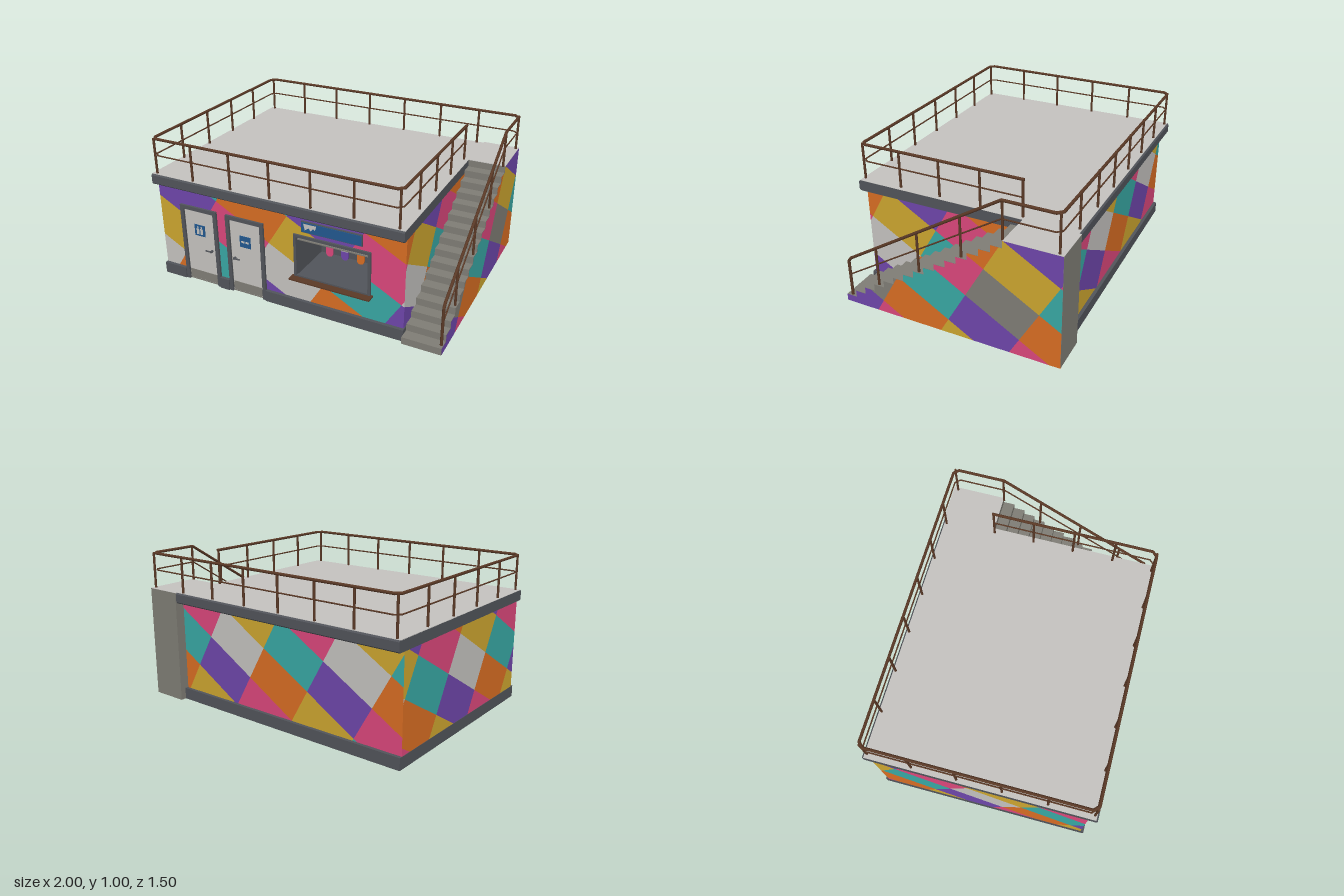
import * as THREE from 'three';

const mat = (name, color) => Object.assign(new THREE.MeshStandardMaterial({ color }), { name });
const M = {
  light: mat('light grey', 0xc4c2bf), concrete: mat('concrete grey', 0x7f7d75), slate: mat('slate', 0x51545a),
  brown: mat('rust brown', 0x5a3926), blue: mat('sign blue', 0x22588f), pink: mat('pink', 0xda477b),
  purple: mat('purple', 0x6e46aa), orange: mat('orange', 0xd76d23), teal: mat('teal', 0x38a7a3), yellow: mat('yellow', 0xcca52f),
};

function add(parent, name, geo, material, x = 0, y = 0, z = 0) {
  const m = new THREE.Mesh(geo, material);
  m.name = name;
  m.position.set(x, y, z);
  parent.add(m);
  return m;
}

// Box given by its minimum and maximum corners
function box(parent, name, material, x0, x1, y0, y1, z0, z1) {
  return add(parent, name, new THREE.BoxGeometry(x1 - x0, y1 - y0, z1 - z0), material,
    (x0 + x1) / 2, (y0 + y1) / 2, (z0 + z1) / 2);
}

// Round bar between two points
function bar(parent, name, p, q, r, material = M.brown) {
  const a = new THREE.Vector3(...p), b = new THREE.Vector3(...q), d = b.clone().sub(a);
  const m = add(parent, name, new THREE.CylinderGeometry(r, r, d.length() + r * 0.6, 8), material);
  m.position.copy(a).add(b).multiplyScalar(0.5);
  m.quaternion.setFromUnitVectors(new THREE.Vector3(0, 1, 0), d.normalize());
}

function path(parent, name, pts, r) {
  for (let i = 1; i < pts.length; i++) bar(parent, name, pts[i - 1], pts[i], r);
}

// Profile in (-z, y), extruded along +x from x0 to x1
function extrudeX(parent, name, pts, x0, x1, material) {
  const shape = new THREE.Shape(pts.map(p => new THREE.Vector2(...p)));
  const geo = new THREE.ExtrudeGeometry(shape, { depth: x1 - x0, bevelEnabled: false });
  add(parent, name, geo, material, x0, 0, 0).rotation.y = Math.PI / 2;
}

// Keep the part of a polygon that lies inside a convex counter-clockwise cell
function clip(poly, cell) {
  cell.forEach((a, k) => {
    const b = cell[(k + 1) % cell.length], out = [];
    const side = p => (b[0] - a[0]) * (p[1] - a[1]) - (b[1] - a[1]) * (p[0] - a[0]);
    poly.forEach((p, i) => {
      const q = poly[(i + 1) % poly.length], sp = side(p), sq = side(q);
      if (sp >= 0) out.push(p);
      if (sp * sq < 0) {
        const t = sp / (sp - sq);
        out.push([p[0] + (q[0] - p[0]) * t, p[1] + (q[1] - p[1]) * t]);
      }
    });
    poly = out;
  });
  return poly;
}

// Slanted patchwork of coloured cells, cut to the rectangles [u0, u1, v0, v1] of a wall
const A = [0.345, -0.204], B = [-0.124, -0.217];
function patchwork(parent, name, rects, origin, angle, pos, { grey = M.light, stretch = 1 } = {}) {
  const group = new THREE.Group();
  group.name = name;
  group.rotation.y = angle;
  group.position.set(...pos);
  parent.add(group);
  const odd = [M.orange, M.pink, M.teal], even = [M.purple, M.yellow, grey];
  const faces = new Map();
  const mod3 = n => ((n % 3) + 3) % 3;
  for (let i = -8; i <= 8; i++) for (let j = -12; j <= 12; j++) {
    const at = (m, n) => [origin[0] + (m * A[0] + n * B[0]) * stretch, origin[1] + m * A[1] + n * B[1]];
    const cell = [at(i, j), at(i, j + 1), at(i + 1, j + 1), at(i + 1, j)];
    let colour = i % 2 ? odd[mod3(j - (i + 1) / 2)] : even[mod3(j - i / 2 + 1)];
    if (i === -2 && j === 0) colour = M.teal; // one odd patch
    for (const [u0, u1, v0, v1] of rects) {
      const p = clip([[u0, v0], [u1, v0], [u1, v1], [u0, v1]], cell);
      if (!faces.has(colour)) faces.set(colour, []);
      for (let k = 2; k < p.length; k++) for (const c of [p[0], p[k - 1], p[k]]) faces.get(colour).push(c[0], c[1], 0);
    }
  }
  for (const [colour, list] of faces) {
    if (!list.length) continue;
    const geo = new THREE.BufferGeometry();
    geo.setAttribute('position', new THREE.Float32BufferAttribute(list, 3));
    geo.computeVertexNormals();
    add(group, name + ' ' + colour.name, geo, colour);
  }
}

// Four bars around an opening
function frame(parent, name, material, x0, x1, y0, y1, z0, z1, w, sill = true) {
  box(parent, name, material, x0, x0 + w, y0, y1, z0, z1);
  box(parent, name, material, x1 - w, x1, y0, y1, z0, z1);
  box(parent, name, material, x0 + w, x1 - w, y1 - w, y1, z0, z1);
  if (sill) box(parent, name, material, x0 + w, x1 - w, y0, y0 + w, z0, z1);
}

const STEPS = 15, RUN = 0.075, RISE = 0.75 / 16, FOOT = 0.735;
const TOP_Z = FOOT - STEPS * RUN;
const stepHeight = z => Math.min(16, Math.floor((FOOT - z) / RUN) + 1) * RISE;

function buildBody(g) {
  // Base, with the front plinth interrupted by the doors
  box(g, 'base', M.slate, -1, 0.75, 0, 0.077, -0.712, 0.688);
  for (const [x0, x1] of [[-1, -0.83], [-0.55, -0.48], [-0.2, 0.75]]) box(g, 'plinth', M.slate, x0, x1, 0, 0.077, 0.688, 0.712);
  const c = 0.008;
  extrudeX(g, 'roofSlab', [[-0.745, 0.68 + c], [-0.745 + c, 0.68], [0.745 - c, 0.68], [0.745, 0.68 + c],
    [0.745, 0.75 - c], [0.745 - c, 0.75], [-0.745 + c, 0.75], [-0.745, 0.75 - c]], -1, 0.75, M.slate);
  box(g, 'roofTop', M.light, -1, 0.75, 0.748, 0.752, -0.735, 0.735);

  // Painted walls, the front one left open for the kiosk window
  const lo = 0.07, hi = 0.685, H = Math.PI / 2;
  patchwork(g, 'frontWall', [[-0.998, 0.03, lo, hi], [0.515, 0.745, lo, hi], [0.03, 0.515, lo, 0.25], [0.03, 0.515, 0.525, hi]],
    [-0.033, 0.643], 0, [0, 0, 0.69], { stretch: 1.1 });
  patchwork(g, 'backWall', [[-0.745, 0.998, lo, hi]], [-0.24, 0.92], 2 * H, [0, 0, -0.69]);
  patchwork(g, 'rightWall', [[-0.69, 0.69, lo, hi]], [0.393, 0.75], H, [0.745, 0, 0]);
  patchwork(g, 'leftWall', [[-0.69, 0.69, lo, hi]], [0.98, 0.88], -H, [-0.998, 0, 0]);
}

function buildStairs(g) {
  const pts = [[0.75, 0], [0.75, 0.75], [-TOP_Z, 0.75]], rects = [[-TOP_Z, 0.75, 0, 0.75]];
  for (let i = STEPS - 1; i >= 0; i--) {
    const u = -FOOT + i * RUN, y = (i + 1) * RISE;
    pts.push([u + RUN, y], [u, y]);
    rects.push([u, u + RUN, 0, y]);
  }
  pts.push([-FOOT, 0]);
  extrudeX(g, 'stairs', pts, 0.75, 0.998, M.concrete);
  patchwork(g, 'stairSide', rects, [0.393, 0.75], Math.PI / 2, [1, 0, 0], { grey: M.concrete });
  box(g, 'landingTop', M.light, 0.75, 1, 0.748, 0.752, -0.75, TOP_Z);
}

function buildRailing(g) {
  const R = 0.0095, T = 0.0048, top = 0.99, mid = 0.877;
  const loop = [[0.72, -0.385], [0.72, 0.69], [0.69, 0.72], [-0.95, 0.72], [-0.98, 0.69],
    [-0.98, -0.695], [-0.95, -0.725], [0.955, -0.725], [0.985, -0.695], [0.985, -0.38]];
  path(g, 'topRail', [...loop.map(([x, z]) => [x, top, z]), [0.985, 0.327, 0.68], [0.985, 0.3, 0.7], [0.985, 0.04, 0.7]], R);
  path(g, 'middleRail', [...loop.map(([x, z]) => [x, mid, z]), [0.985, 0.2, 0.7]], T);
  const post = (x, z, y0 = 0.75, y1 = top) => bar(g, 'railPost', [x, y0, z], [x, y1, z], 0.008);
  for (let i = 0; i < 7; i++) post(-0.97 + i * 0.28, 0.72);
  for (let i = 0; i < 8; i++) post(-0.97 + i * 0.279, -0.72);
  for (let i = 1; i < 5; i++) post(-0.98, 0.72 - i * 0.288);
  for (let i = 1; i < 5; i++) post(0.72, 0.725 - i * 0.276);
  post(0.985, -0.385);
  for (const z of [0.48, 0.175, -0.12]) post(0.985, z, stepHeight(z), top - (z + 0.38) * 0.625);
}

// Door with frame, kick plate, lever and pictogram plate
function buildDoor(g, x, hinge, pair) {
  const d = new THREE.Group();
  d.name = 'door';
  d.position.x = x;
  g.add(d);
  frame(d, 'doorFrame', M.slate, -0.14, 0.14, 0, 0.555, 0.68, 0.705, 0.026, false);
  box(d, 'doorTrim', M.concrete, -0.114, 0.114, 0, 0.529, 0.68, 0.693);
  box(d, 'doorLeaf', M.light, -0.11, 0.11, 0.012, 0.525, 0.68, 0.696);
  box(d, 'kickPlate', M.concrete, -0.107, 0.107, 0.015, 0.078, 0.694, 0.699);
  box(d, 'pictogramPlate', M.blue, -0.04, 0.04, 0.35, 0.43, 0.694, 0.7);
  for (const s of [-1, 1]) {
    if (pair) {
      add(d, 'figureHead', new THREE.CircleGeometry(0.007, 12), M.light, s * 0.014, 0.413, 0.7008);
      box(d, 'figureBody', M.light, s * 0.014 - 0.01, s * 0.014 + 0.01, 0.362, 0.404, 0.7, 0.701);
    } else box(d, 'figureBody', M.light, s * 0.016 - 0.012, s * 0.016 + 0.012, 0.382, 0.396, 0.7, 0.701);
  }
  const hx = hinge * 0.085;
  bar(d, 'handleStem', [hx, 0.257, 0.694], [hx, 0.257, 0.714], 0.008, M.slate);
  bar(d, 'handleLever', [hx, 0.257, 0.712], [hx - hinge * 0.04, 0.257, 0.712], 0.005, M.slate);
}

function buildKiosk(g) {
  // Deep recess behind the opening
  box(g, 'nicheBack', M.slate, 0.02, 0.525, 0.24, 0.535, 0.36, 0.37);
  box(g, 'nicheSide', M.slate, 0.02, 0.03, 0.25, 0.525, 0.37, 0.69);
  box(g, 'nicheSide', M.slate, 0.515, 0.525, 0.25, 0.525, 0.37, 0.69);
  box(g, 'nicheFloor', M.slate, 0.02, 0.525, 0.24, 0.25, 0.37, 0.69);
  box(g, 'nicheCeiling', M.slate, 0.02, 0.525, 0.525, 0.535, 0.37, 0.69);
  frame(g, 'windowFrame', M.slate, 0.015, 0.53, 0.24, 0.54, 0.68, 0.703, 0.018);
  box(g, 'shutterRail', M.concrete, 0.033, 0.512, 0.497, 0.505, 0.67, 0.685);
  bar(g, 'boardRail', [0.03, 0.373, 0.385], [0.515, 0.373, 0.385], 0.004, M.concrete);
  box(g, 'counter', M.brown, 0, 0.545, 0.24, 0.248, 0.66, 0.75);
  for (const x of [0.06, 0.48]) {
    extrudeX(g, 'counterBracket', [[-0.735, 0.24], [-0.69, 0.195], [-0.69, 0.24]], x - 0.006, x + 0.006, M.slate);
  }
  // Row of boards with pale stripes
  [[0.107, M.pink, 0.345, 0.01], [0.217, M.purple, 0.325, 0.022], [0.328, M.orange, 0.33, 0.018], [0.436, M.teal, 0.335, 0.008]]
    .forEach(([x, colour, y, h]) => {
      const s = new THREE.Shape();
      s.absarc(0, 0.385, 0.025, 0, Math.PI);
      s.absarc(0, 0.275, 0.025, Math.PI, 2 * Math.PI);
      s.closePath();
      add(g, 'board', new THREE.ExtrudeGeometry(s, { depth: 0.012, bevelEnabled: false }), colour, x, 0, 0.395);
      box(g, 'boardStripe', M.light, x - 0.025, x + 0.025, y - h / 2, y + h / 2, 0.405, 0.409);
    });
  // Sign over the window with an abstract pale emblem
  box(g, 'signBack', M.slate, 0.072, 0.475, 0.568, 0.642, 0.685, 0.702);
  box(g, 'signFace', M.blue, 0.076, 0.471, 0.573, 0.637, 0.7, 0.706);
  const e = new THREE.Shape([[0.09, 0.63], [0.178, 0.63], [0.17, 0.6], [0.155, 0.608], [0.14, 0.59], [0.125, 0.606], [0.1, 0.588]]
    .map(p => new THREE.Vector2(...p)));
  add(g, 'signEmblem', new THREE.ShapeGeometry(e), M.light, 0, 0, 0.7065);
}

export function createModel() {
  const g = new THREE.Group();
  g.name = 'kioskBuilding';
  buildBody(g);
  buildStairs(g);
  buildRailing(g);
  buildDoor(g, -0.69, 1, true);
  buildDoor(g, -0.34, -1, false);
  buildKiosk(g);
  return g;
}
